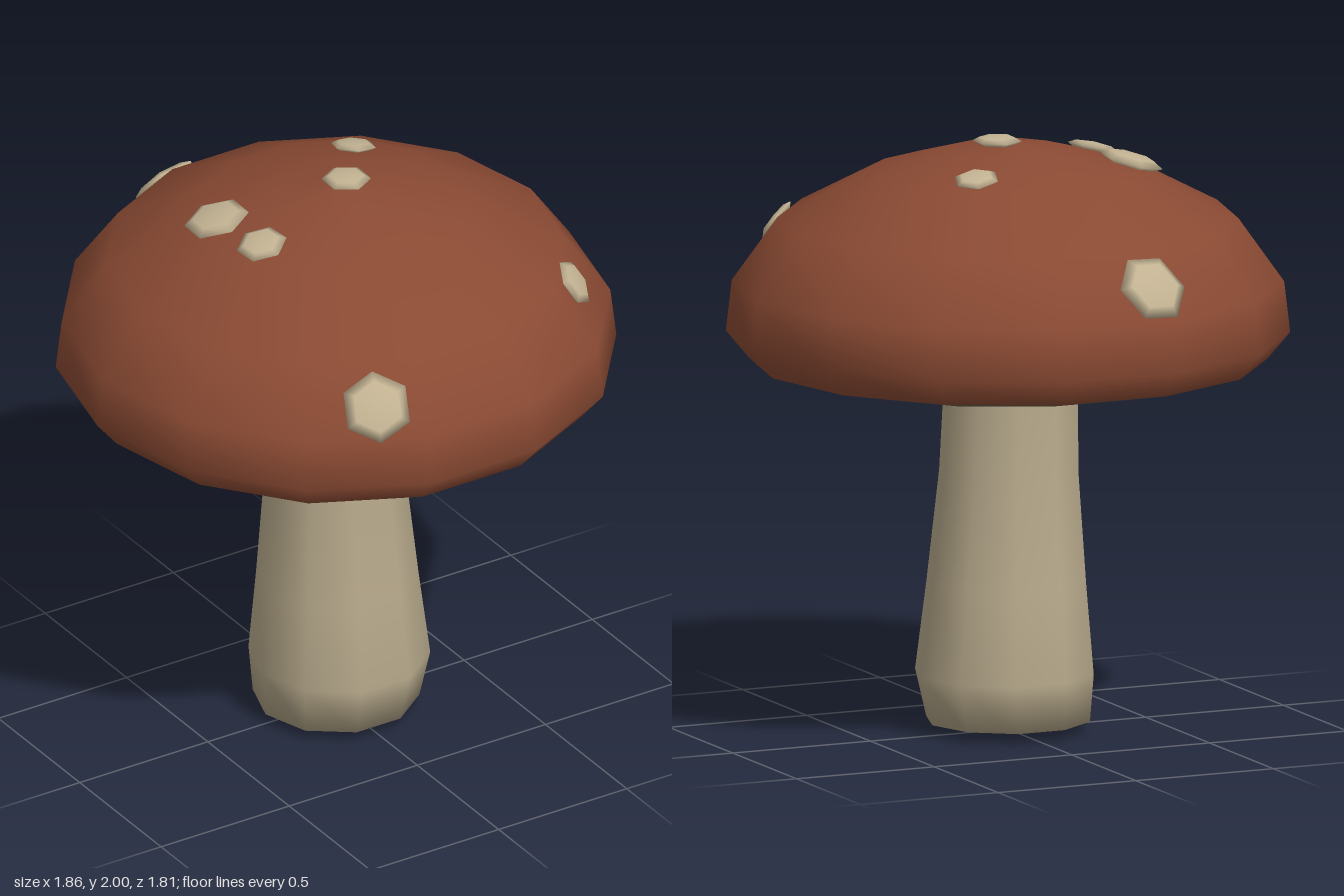
import * as THREE from 'three';

const material = (color) => new THREE.MeshStandardMaterial({ color, roughness: 0.9 });

// Turned shape with a corner on the x axis; profile runs from bottom to top
function turned(name, profile, sides, mat) {
  const points = profile.map(([r, y]) => new THREE.Vector2(r, y));
  const mesh = new THREE.Mesh(new THREE.LatheGeometry(points, sides, Math.PI / 2), mat);
  mesh.name = name;
  return mesh;
}

const CAP = [
  [0.855, 1.25], [0.93, 1.34], [0.91, 1.51], [0.76, 1.72],
  [0.455, 1.88], [0.2, 1.95], [0, 1.975],
];

// Outward direction of the cap surface above the point (x, z)
function capNormal(x, z) {
  const r = Math.hypot(x, z);
  let i = 2;
  while (i < CAP.length - 2 && r < CAP[i + 1][0]) i++;
  const [r0, y0] = CAP[i], [r1, y1] = CAP[i + 1];
  const out = y1 - y0, up = r0 - r1;
  return new THREE.Vector3((out * x) / r, up, (out * z) / r).normalize();
}

export function createModel() {
  const group = new THREE.Group();
  group.name = 'mushroom';

  // Domed cap and its gill side
  group.add(turned('cap', CAP, 14, material(0x8a4a33)));
  group.add(turned('capUnderside', [[0, 1.17], [0.23, 1.17], [0.69, 1.215], [0.855, 1.25]], 14, material(0x646050)));

  // Stem, slightly bent sideways
  const stem = turned('stem', [
    [0, 0.005], [0.275, 0.04], [0.3, 0.2], [0.268, 0.5], [0.234, 0.87], [0.224, 1.19],
  ], 10, material(0xb8aa8c));
  const pos = stem.geometry.attributes.position;
  for (let i = 0; i < pos.count; i++) {
    const y = pos.getY(i);
    const bend = y < 0.1 ? 0 : 0.013 - 0.024 * (y - 0.2);
    pos.setX(i, pos.getX(i) + bend);
  }
  group.add(stem);

  // Flattened six-sided spots: x, y, z, radius, spin
  const spotMaterial = material(0xc2b292);
  const up = new THREE.Vector3(0, 1, 0);
  [
    [0.04, 1.982, 0, 0.082, 0.5],
    [0.24, 1.915, -0.27, 0.077, 0.2],
    [-0.39, 1.903, -0.12, 0.11, 0.45],
    [-0.36, 1.91, 0.11, 0.085, 0.65],
    [0.6, 1.668, 0.52, 0.085, 0.3],
    [-0.33, 1.602, 0.77, 0.12, 0.15],
    [-0.14, 1.615, -0.83, 0.125, 0.1],
  ].forEach(([x, y, z, radius, spin], i) => {
    const geometry = new THREE.SphereGeometry(radius, 6, 4).scale(1, 0.22, 1).rotateY(spin);
    const spot = new THREE.Mesh(geometry, spotMaterial);
    spot.name = `spot${i + 1}`;
    spot.position.set(x, y, z);
    // The crown spot lies flat; the others follow the cap
    if (i > 0) spot.quaternion.setFromUnitVectors(up, capNormal(x, z));
    group.add(spot);
  });

  return group;
}
